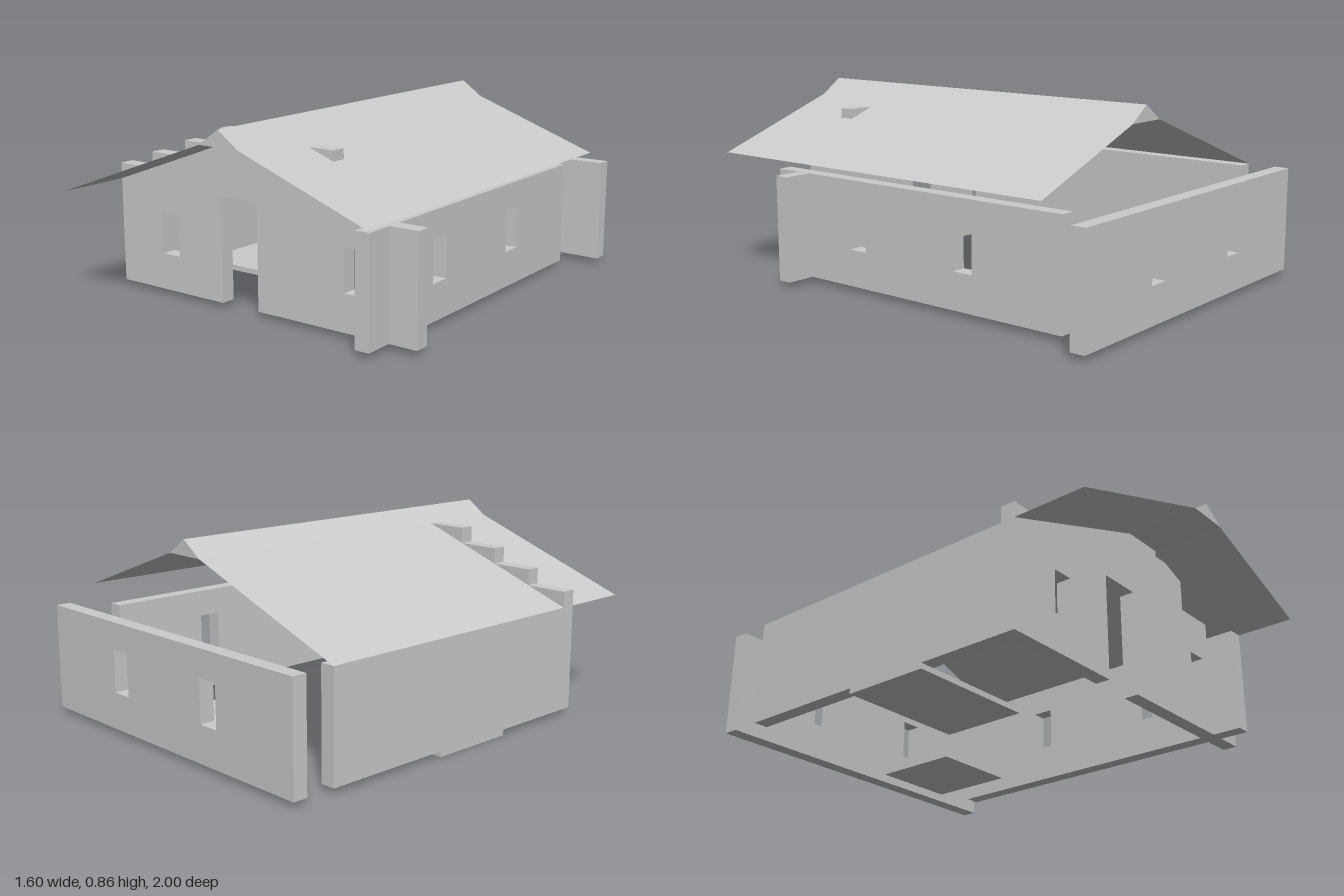
import * as THREE from 'three';

const T = 0.067;      // wall thickness
const BASE = 0.025;   // underside of the walls
const EAVE = 0.5;

const stone = new THREE.MeshStandardMaterial({ color: 0xcccccc, flatShading: true });
const sheet = new THREE.MeshStandardMaterial({ color: 0xcccccc, flatShading: true, side: THREE.DoubleSide });

const outline = (pts) => new THREE.Shape(pts.map(([x, y]) => new THREE.Vector2(x, y)));
const rect = (x0, x1, y0, y1) => [[x0, y0], [x1, y0], [x1, y1], [x0, y1]];

function add(group, name, geometry, material = stone) {
  const mesh = new THREE.Mesh(geometry, material);
  mesh.name = name;
  group.add(mesh);
  return mesh;
}

// Wall slab with window openings centred at the given positions
function wallGeometry(pts, windows = []) {
  const shape = outline(pts);
  for (const c of windows) {
    shape.holes.push(outline(rect(c - 0.05, c + 0.05, 0.19, 0.38).reverse()));
  }
  return new THREE.ExtrudeGeometry(shape, { depth: T, bevelEnabled: false });
}

// Flat roof sheet between two points of the gable profile
function slopeGeometry([x0, y0], [x1, y1], zBack, zFront) {
  const g = new THREE.PlaneGeometry(Math.hypot(x1 - x0, y1 - y0), zFront - zBack);
  g.rotateX(-Math.PI / 2);
  g.rotateZ(Math.atan2(y1 - y0, x1 - x0));
  g.translate((x0 + x1) / 2, (y0 + y1) / 2, (zBack + zFront) / 2);
  return g;
}

export function createModel() {
  const house = new THREE.Group();
  house.name = 'house';

  // Front wall: stepped top, doorway cut up from the base
  const front = add(house, 'frontWall', wallGeometry([
    [-0.8, BASE], [-0.2, BASE], [-0.2, EAVE], [0, EAVE], [0, BASE], [0.8, BASE],
    [0.8, EAVE], [0.6, EAVE], [0.6, 0.572], [0.4, 0.572], [0.4, 0.762], [0.2, 0.762],
    [0.2, 0.79], [-0.2, 0.79], [-0.2, 0.717], [-0.4, 0.717], [-0.4, 0.645],
    [-0.6, 0.645], [-0.6, 0.572], [-0.8, 0.572],
  ], [-0.5, 0.5]));
  front.position.z = 0.6;

  // Detached back wall
  const back = add(house, 'backWall', wallGeometry(rect(-0.8, 0.8, BASE, EAVE), [-0.3, 0.3]));
  back.position.z = -1;

  // Side walls, drawn along z; the +x one runs past the front wall
  const left = add(house, 'leftWall', wallGeometry(rect(-0.8, 0.8, BASE, EAVE), [-0.3, 0.3]));
  left.rotation.y = -Math.PI / 2;
  left.position.x = 0.6 + T;

  const right = add(house, 'rightWall', wallGeometry(rect(-0.8, 0.6 + T, BASE, EAVE)));
  right.rotation.y = -Math.PI / 2;
  right.position.x = -0.8 + T;

  // Roof: two thin slopes and a closed triangular ridge cap
  const roof = new THREE.Group();
  roof.name = 'roof';
  house.add(roof);
  add(roof, 'rightSlope', slopeGeometry([-0.8, EAVE], [0, 0.79], -0.8, 1), sheet);
  add(roof, 'leftSlope', slopeGeometry([0.2, 0.79], [0.8, 0.572], -0.8, 1), sheet);
  const ridge = add(roof, 'ridgeCap', new THREE.ExtrudeGeometry(
    outline([[0, 0.79], [0.2, 0.79], [0.1, 0.86]]), { depth: 1.8, bevelEnabled: false }));
  ridge.position.z = -0.8;

  // Floor slabs: x from, x to, z from, z to
  for (const [x0, x1, z0, z1] of [[-0.8, -0.2, -0.2, 0.2], [0, 0.4, -0.8, -0.4]]) {
    const slab = add(house, 'floorSlab', new THREE.BoxGeometry(x1 - x0, BASE, z1 - z0));
    slab.position.set((x0 + x1) / 2, BASE / 2, (z0 + z1) / 2);
  }

  return house;
}
